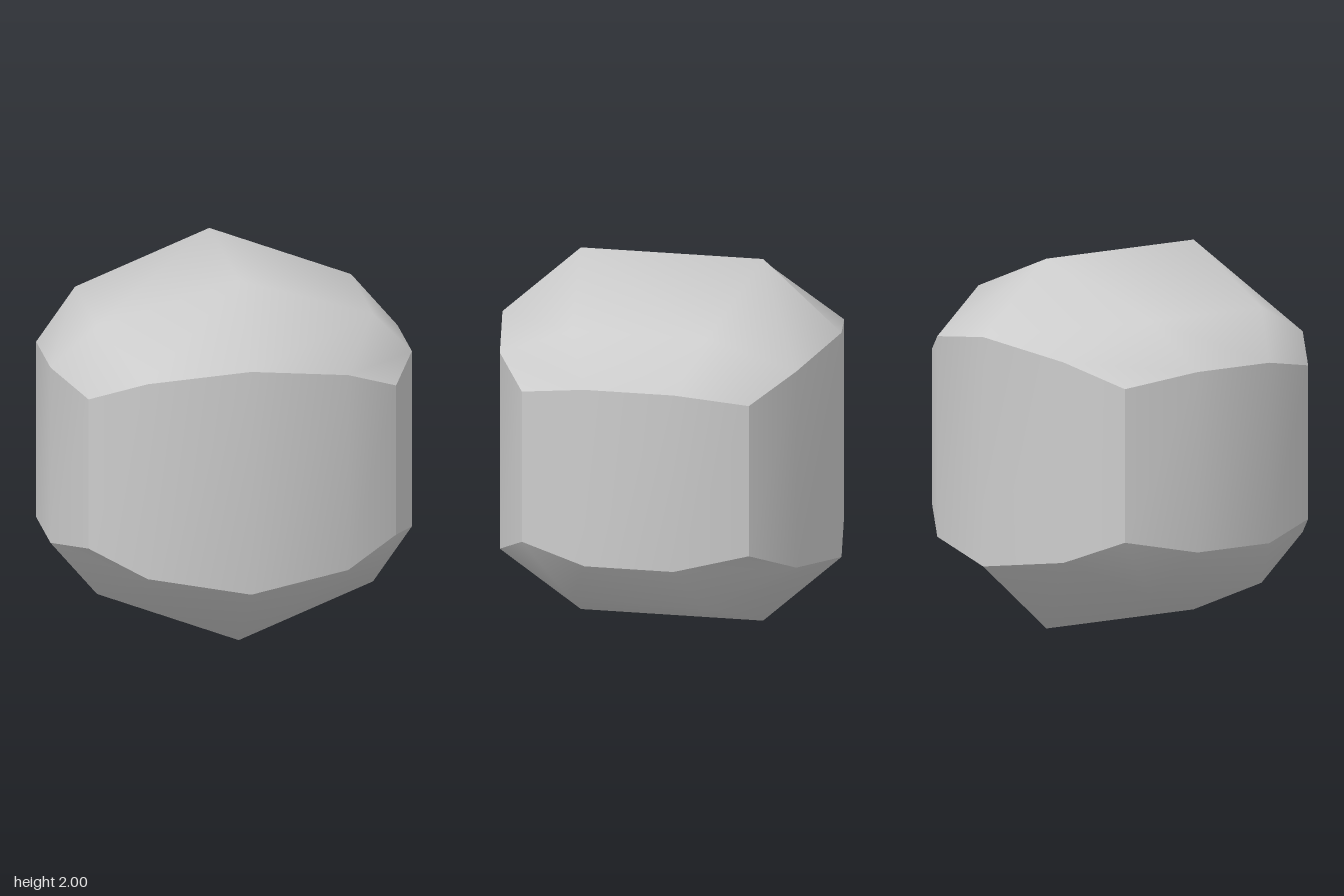
import * as THREE from 'three';

const RADIUS = Math.sqrt(1.25);

export function createModel() {
  const group = new THREE.Group();
  group.name = 'spherifiedBox';

  const grey = new THREE.MeshStandardMaterial({ color: 0xcccccc });
  grey.name = 'light grey';

  // Subdivided 4 x 2 x 3 box with every vertex pushed out onto a sphere
  const geometry = new THREE.BoxGeometry(4, 2, 3, 4, 1, 3);
  const position = geometry.attributes.position;
  const v = new THREE.Vector3();
  for (let i = 0; i < position.count; i++) {
    v.fromBufferAttribute(position, i).setLength(RADIUS);
    position.setXYZ(i, v.x, v.y, v.z);
  }
  // Smooth inside each of the six sides, sharp along the box edges
  geometry.computeVertexNormals();
  geometry.clearGroups();

  const body = new THREE.Mesh(geometry, grey);
  body.name = 'roundedBody';
  body.position.y = 1;
  group.add(body);
  return group;
}
